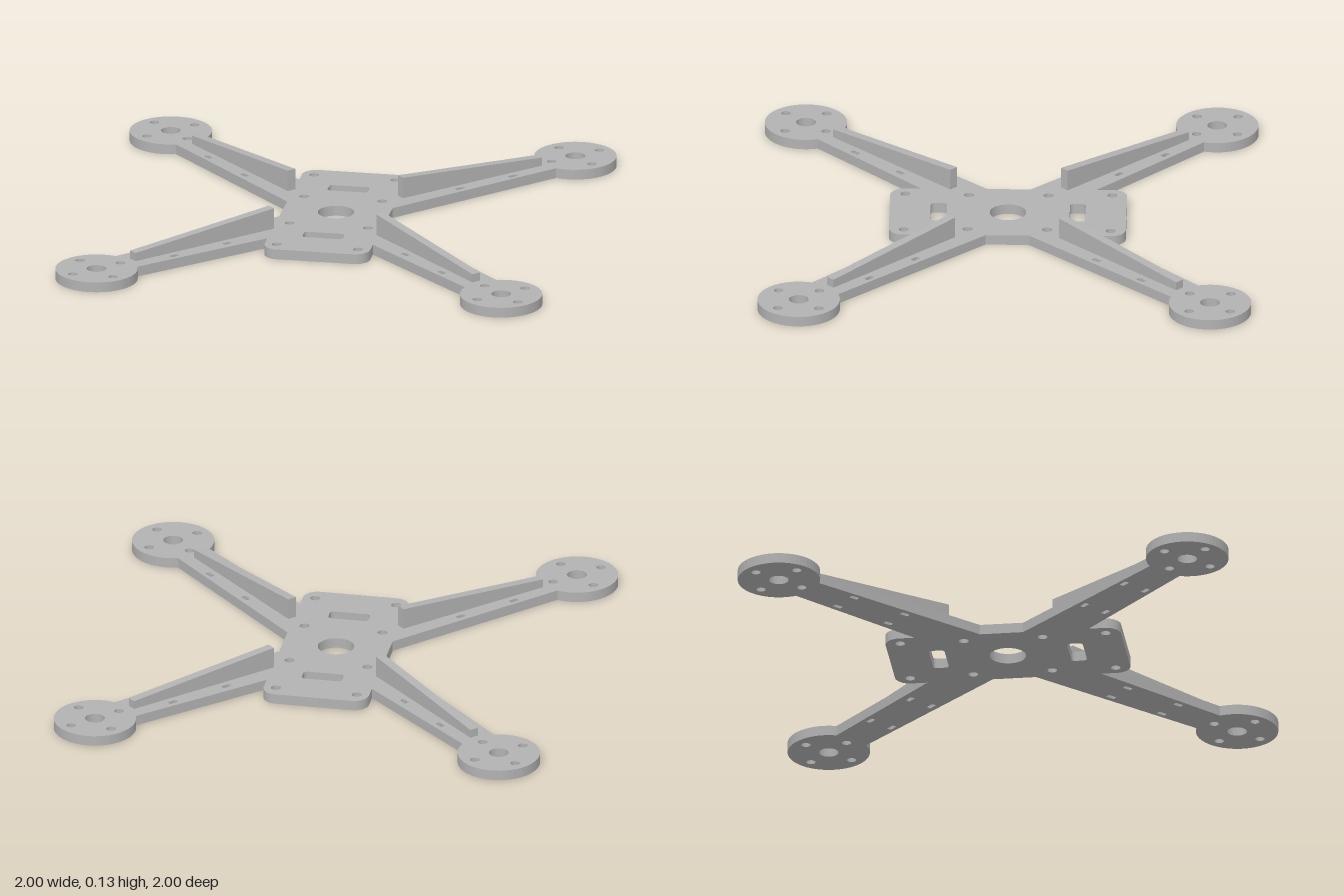
import * as THREE from 'three';

const T = 0.042;      // plate thickness
const PAD = 0.833;    // motor pad centre on both axes
const PAD_R = 0.167;

// Points on an arc, angles in radians
function arc(cx, cy, r, a0, a1, n) {
  return Array.from({ length: n + 1 }, (_, i) => {
    const a = a0 + (a1 - a0) * i / n;
    return new THREE.Vector2(cx + r * Math.cos(a), cy + r * Math.sin(a));
  });
}

// One quarter of the outline: hub side, arm edge, motor pad, arm edge, hub corner
function quarterOutline() {
  const half = Math.asin(0.0768 / PAD_R);
  const inward = Math.PI * 1.25;
  return [
    new THREE.Vector2(0.217, 0.088),
    ...arc(PAD, PAD, PAD_R, inward + half - Math.PI * 2 + Math.PI * 2, inward - half + Math.PI * 2, 48),
    new THREE.Vector2(0.217, 0.355),
    ...arc(0.157, 0.42, 0.06, 0, Math.PI / 2, 10),
  ];
}

function circleHole(x, y, r) {
  return new THREE.Path().absarc(x, y, r, 0, Math.PI * 2, true);
}

// Rounded slot, w along the given angle
function slotHole(x, y, w, h, r, angle = 0) {
  const a = w / 2 - r, b = h / 2 - r, q = Math.PI / 2;
  const pts = [[a, b, 0], [-a, b, q], [-a, -b, 2 * q], [a, -b, 3 * q]]
    .flatMap(([cx, cy, s]) => arc(cx, cy, r, s, s + q, 5));
  const o = new THREE.Vector2();
  pts.forEach(p => { p.rotateAround(o, angle); p.x += x; p.y += y; });
  return new THREE.Path(pts);
}

function framePlate() {
  const q = quarterOutline();
  const mirror = (sx, sy) => q.map(p => new THREE.Vector2(p.x * sx, p.y * sy));
  const shape = new THREE.Shape([
    ...q, ...mirror(-1, 1).reverse(), ...mirror(-1, -1), ...mirror(1, -1).reverse(),
  ]);

  // Hub openings
  shape.holes.push(circleHole(0, 0, 0.074));
  for (const s of [1, -1]) shape.holes.push(slotHole(0, s * 0.282, 0.166, 0.064, 0.016));

  for (const sx of [1, -1]) for (const sy of [1, -1]) {
    // Hub screw holes
    shape.holes.push(circleHole(sx * 0.167, sy * 0.419, 0.02));
    shape.holes.push(circleHole(sx * 0.161, sy * 0.161, 0.02));
    // Motor shaft and screw holes
    shape.holes.push(circleHole(sx * PAD, sy * PAD, 0.04));
    for (const dx of [1, -1]) for (const dy of [1, -1]) {
      shape.holes.push(circleHole(sx * PAD + dx * 0.083, sy * PAD + dy * 0.083, 0.019));
    }
    // Cable-tie slots on both sides of each rib
    for (const d of [0.573, 0.833]) for (const off of [0.054, -0.054]) {
      const x = (d + off) * Math.SQRT1_2, y = (d - off) * Math.SQRT1_2;
      shape.holes.push(slotHole(sx * x, sy * y, 0.038, 0.02, 0.004, sx * sy * Math.PI / 4));
    }
  }
  const geo = new THREE.ExtrudeGeometry(shape, { depth: T, bevelEnabled: false, curveSegments: 20 });
  return geo.rotateX(-Math.PI / 2);
}

// Tapered stiffening rib, tall at the hub and low at the motor
function ribGeometry() {
  const w = 0.038;
  const profile = new THREE.Shape([
    new THREE.Vector2(0.317, T - 0.005), new THREE.Vector2(1.0, T - 0.005),
    new THREE.Vector2(1.0, 0.077), new THREE.Vector2(0.317, 0.13),
  ]);
  return new THREE.ExtrudeGeometry(profile, { depth: w, bevelEnabled: false }).translate(0, 0, -w / 2);
}

export function createModel() {
  const group = new THREE.Group();
  group.name = 'quadcopterFrame';
  const grey = new THREE.MeshStandardMaterial({ color: 0xb2b2b2 });
  grey.name = 'grey';

  const plate = new THREE.Mesh(framePlate(), grey);
  plate.name = 'framePlate';
  group.add(plate);

  const rib = ribGeometry();
  ['backLeftRib', 'backRightRib', 'frontRightRib', 'frontLeftRib'].forEach((name, i) => {
    const mesh = new THREE.Mesh(rib, grey);
    mesh.name = name;
    mesh.rotation.y = Math.PI / 4 + i * Math.PI / 2;
    group.add(mesh);
  });
  return group;
}
